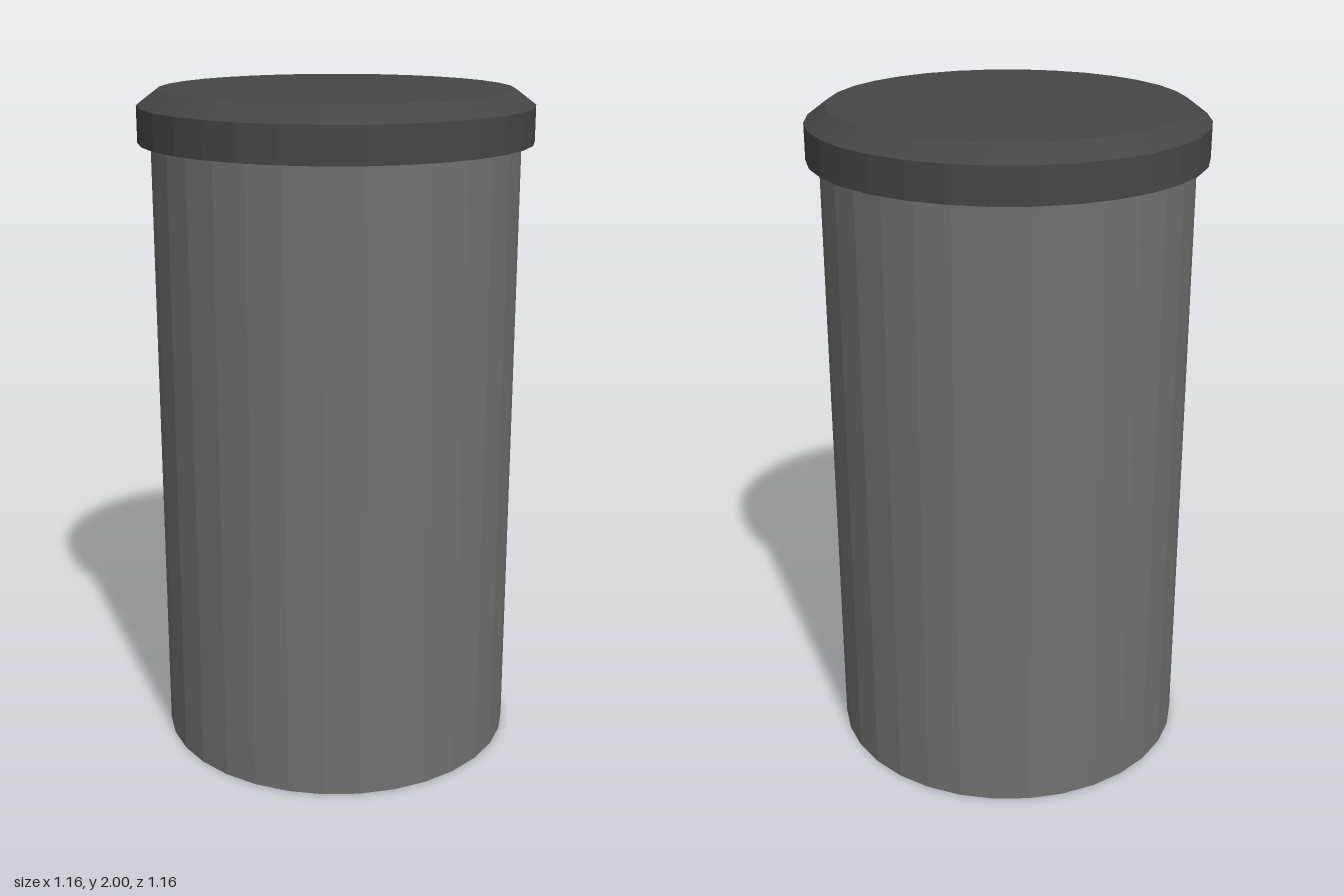
import * as THREE from 'three';

const SIDES = 32;

// Faceted turned part from a bottom-to-top profile of [radius, height]
function turned(name, color, profile) {
  const points = profile.map(([r, y]) => new THREE.Vector2(r, y));
  const material = new THREE.MeshStandardMaterial({ color, flatShading: true });
  const mesh = new THREE.Mesh(new THREE.LatheGeometry(points, SIDES), material);
  mesh.name = name;
  return mesh;
}

export function createModel() {
  const group = new THREE.Group();
  group.name = 'canister';

  // Straight body with a closed base; its rim meets the lid
  group.add(turned('body', 0x707070, [[0, 0], [0.54, 0], [0.54, 1.85]]));

  // Overhanging lid with a bevelled top edge
  group.add(turned('lid', 0x464646, [
    [0.54, 1.85], [0.578, 1.85], [0.578, 1.955], [0.518, 2], [0, 2],
  ]));

  return group;
}
